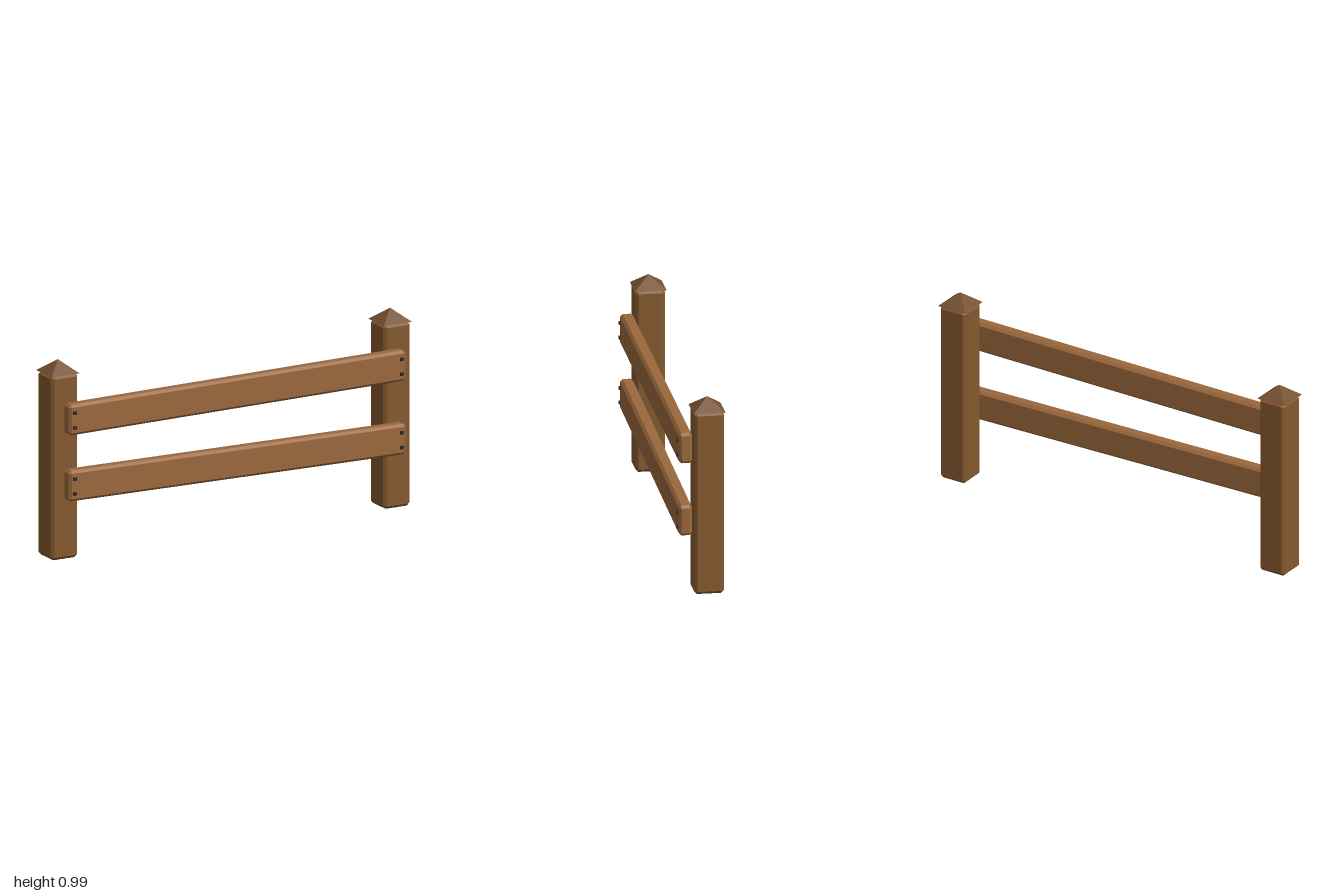
import * as THREE from 'three';
import { ConvexGeometry } from 'three/addons/geometries/ConvexGeometry.js';

const material = (color) => new THREE.MeshStandardMaterial({ color, flatShading: true });

// Box with every edge cut at 45 degrees: three corner points per corner, then the hull.
function chamferedBox(w, h, d, c) {
  const points = [];
  for (const sx of [-1, 1]) for (const sy of [-1, 1]) for (const sz of [-1, 1]) {
    for (let axis = 0; axis < 3; axis++) {
      const inset = [c, c, c];
      inset[axis] = 0;
      points.push(new THREE.Vector3(
        sx * (w / 2 - inset[0]), sy * (h / 2 - inset[1]), sz * (d / 2 - inset[2])));
    }
  }
  return new ConvexGeometry(points);
}

export function createModel() {
  const fence = new THREE.Group();
  fence.name = 'fence';

  const postMaterial = material(0x85592f);
  const capMaterial = material(0x75502f);
  const railMaterial = material(0x9b683c);
  const boltMaterial = material(0x2c2c2e);

  function add(parent, name, geometry, mat, x, y, z) {
    const mesh = new THREE.Mesh(geometry, mat);
    mesh.name = name;
    mesh.position.set(x, y, z);
    parent.add(mesh);
  }

  // Posts with pyramid caps
  const postHeight = 0.924, capHeight = 0.063, postZ = -0.034;
  const postGeometry = chamferedBox(0.146, postHeight, 0.146, 0.014);
  const capGeometry = new THREE.ConeGeometry(0.078 * Math.SQRT2, capHeight, 4);
  capGeometry.rotateY(Math.PI / 4);
  for (const [side, s] of [['left', 1], ['right', -1]]) {
    add(fence, side + 'Post', postGeometry, postMaterial, s * 0.922, postHeight / 2, postZ);
    add(fence, side + 'PostCap', capGeometry, capMaterial, s * 0.922, postHeight + capHeight / 2, postZ);
  }

  // Slightly tilted rails, each held by two bolts per end
  const railGeometry = chamferedBox(1.87, 0.154, 0.065, 0.013);
  const boltGeometry = new THREE.BoxGeometry(0.018, 0.016, 0.016);
  for (const [name, y, tilt] of [['upperRail', 0.72, 0.0087], ['lowerRail', 0.37, -0.0118]]) {
    const rail = new THREE.Group();
    rail.name = name;
    rail.position.set(0, y, 0.0725);
    rail.rotation.z = tilt;
    add(rail, name + 'Board', railGeometry, railMaterial, 0, 0, 0);
    for (const x of [-0.907, 0.907]) for (const by of [-0.037, 0.037]) {
      add(rail, 'bolt', boltGeometry, boltMaterial, x, by, 0.0325);
    }
    fence.add(rail);
  }

  return fence;
}
